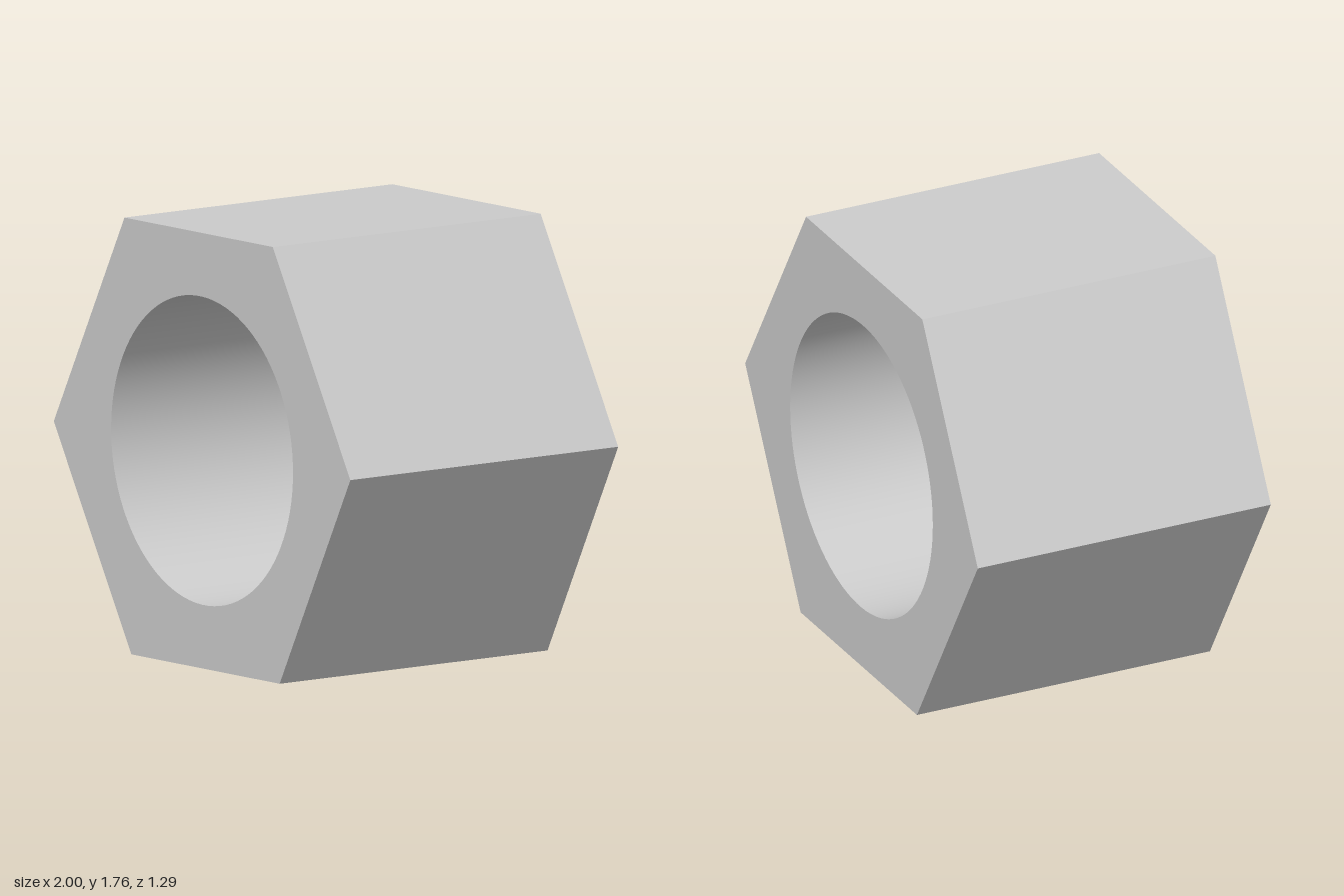
import * as THREE from 'three';
import { toCreasedNormals } from 'three/addons/utils/BufferGeometryUtils.js';

const RADIUS = 1;        // hexagon corner radius
const BORE = 0.613;      // hole radius
const DEPTH = 1.29;
const TILT = THREE.MathUtils.degToRad(1.53);

export function createModel() {
  const group = new THREE.Group();
  group.name = 'hexNut';

  // Hexagonal outline, turned slightly about its axis
  const corners = Array.from({ length: 6 }, (_, i) => {
    const a = TILT + (i * Math.PI) / 3;
    return new THREE.Vector2(RADIUS * Math.cos(a), RADIUS * Math.sin(a));
  });
  const outline = new THREE.Shape(corners);

  // Round through-hole
  const bore = new THREE.Path();
  bore.absarc(0, 0, BORE, 0, Math.PI * 2, true);
  outline.holes.push(bore);

  // Smooth bore wall, sharp edges elsewhere
  const geometry = toCreasedNormals(
    new THREE.ExtrudeGeometry(outline, { depth: DEPTH, bevelEnabled: false, curveSegments: 48 }),
    Math.PI / 6
  );
  geometry.translate(0, RADIUS * Math.sin(Math.PI / 3 + TILT), -DEPTH / 2);

  const nut = new THREE.Mesh(geometry, new THREE.MeshStandardMaterial({ color: 0xcccccc }));
  nut.name = 'nutBody';
  group.add(nut);
  return group;
}
